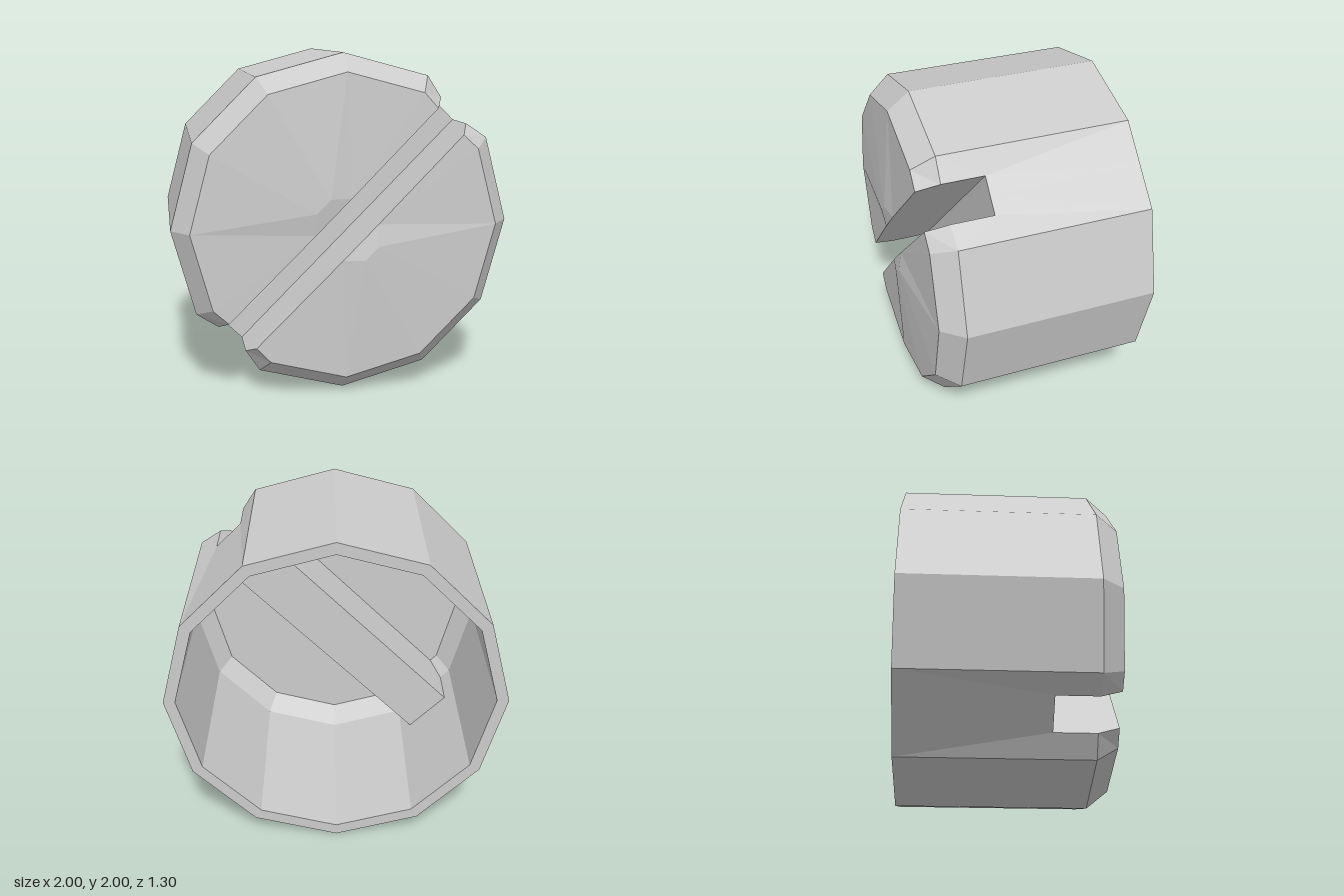
import * as THREE from 'three';

// Builds flat-shaded faces from polygons given for one quarter, mirrored to all four.
function mirroredQuarter(name, polygons, material) {
  const positions = [];
  for (const su of [1, -1]) for (const sw of [1, -1]) {
    for (const poly of polygons) {
      const pts = poly.map(([u, w, z]) => [u * su, w * sw, z]);
      if (su * sw < 0) pts.reverse();
      for (let i = 1; i < pts.length - 1; i++) positions.push(...pts[0], ...pts[i], ...pts[i + 1]);
    }
  }
  const geometry = new THREE.BufferGeometry();
  geometry.setAttribute('position', new THREE.Float32BufferAttribute(positions, 3));
  geometry.computeVertexNormals();
  const mesh = new THREE.Mesh(geometry, material);
  mesh.name = name;
  return mesh;
}

const APOTHEM = Math.cos(Math.PI / 12);

// Point on the twelve-sided outline; 0 and 90 degrees are the middles of sides.
function ring(r, deg, z) {
  const a = THREE.MathUtils.degToRad(deg);
  const k = deg % 90 === 0 ? r * APOTHEM : r;
  return [k * Math.cos(a), k * Math.sin(a), z];
}

// Bands of faces following a [radius, z] profile round the quarter.
function bands(profile) {
  const angles = [15, 45, 75, 90];
  const out = [];
  for (let p = 0; p < profile.length - 1; p++) {
    const [r0, z0] = profile[p], [r1, z1] = profile[p + 1];
    for (let i = 0; i < 3; i++) {
      out.push([ring(r0, angles[i], z0), ring(r0, angles[i + 1], z0),
        ring(r1, angles[i + 1], z1), ring(r1, angles[i], z1)]);
    }
  }
  return out;
}

export function createModel() {
  const material = new THREE.MeshStandardMaterial({ color: 0xcccccc, flatShading: true });
  const back = -0.65, edge = 0.48, rim = 0.61;
  const slotHalf = 0.11, slotEnd = 0.935, slotZ = 0.23;
  const ribHalf = 0.16, ribZ = 0.17, innerZ = 0.56, innerEdge = 0.43;
  const rIn = 0.93, rFloor = 0.84, rRim = 0.895;

  // Slot corners: floor, shoulder, rim, and the dip beside the centre
  const C = [slotEnd, slotHalf, slotZ];
  const D = [slotEnd, slotHalf, edge];
  const E = [0.86, slotHalf, rim];
  const S = [0.148, slotHalf, 0.63];
  const T = [0, slotHalf, 0.63];
  const A = [0.057, 0.2, 0.65];
  const M = [0, 0.2, 0.65];

  // Outer side wall and bevel, with the slotted side slightly dented
  const B15 = ring(1, 15, back), F15 = ring(1, 15, edge), R15 = ring(rRim, 15, rim);
  const outer = bands([[1, back], [1, edge], [rRim, rim]]);
  outer.push(
    [ring(1, 0, back), B15, C, [slotEnd, 0, slotZ]],
    [C, B15, F15], [C, F15, D], [D, F15, R15, E]);

  // Slightly domed front face beside the slot
  const R45 = ring(rRim, 45, rim), R75 = ring(rRim, 75, rim), R90 = ring(rRim, 90, rim);
  const face = [[S, E, R15], [S, R15, R45], [A, S, R45], [A, R45, R75], [A, R75, R90, M], [T, S, A, M]];

  // Slot floor and side walls
  const slot = [
    [[0, 0, slotZ], [slotEnd, 0, slotZ], C, [0, slotHalf, slotZ]],
    [[0, slotHalf, slotZ], C, D, E, S, T]];

  // Hollow inside: inner bevel, wall and the open back rim
  const uFloor = rFloor * APOTHEM, uIn = rIn * APOTHEM;
  const inner = bands([[rFloor, innerZ], [rIn, innerEdge], [rIn, back], [1, back]]);
  inner.push(
    [[0, ribHalf, innerZ], ring(rFloor, 90, innerZ), ring(rFloor, 75, innerZ),
      ring(rFloor, 45, innerZ), ring(rFloor, 15, innerZ), [uFloor, ribHalf, innerZ]],
    [[uFloor, ribHalf, innerZ], ring(rFloor, 15, innerZ), ring(rIn, 15, innerEdge), [uIn, ribHalf, innerEdge]],
    [[uIn, ribHalf, innerEdge], ring(rIn, 15, innerEdge), ring(rIn, 15, back), [uIn, ribHalf, back]],
    [[uIn, 0, ribZ], [uIn, ribHalf, ribZ], [uIn, ribHalf, back], [uIn, 0, back]],
    [ring(rIn, 0, back), ring(rIn, 15, back), B15, ring(1, 0, back)]);

  // Underside of the slot, standing as a bar across the hollow
  const rib = [
    [[0, ribHalf, ribZ], [0, ribHalf, innerZ], [uFloor, ribHalf, innerZ], [uIn, ribHalf, innerEdge], [uIn, ribHalf, ribZ]],
    [[0, 0, ribZ], [0, ribHalf, ribZ], [uIn, ribHalf, ribZ], [uIn, 0, ribZ]]];

  const cap = new THREE.Group();
  cap.name = 'slottedCap';
  const parts = { outerWall: outer, frontFace: face, slot, innerShell: inner, slotUnderside: rib };
  for (const [name, polygons] of Object.entries(parts)) cap.add(mirroredQuarter(name, polygons, material));
  cap.rotation.z = Math.PI / 4;
  cap.position.y = 1;

  const model = new THREE.Group();
  model.name = 'cap';
  model.add(cap);
  return model;
}
